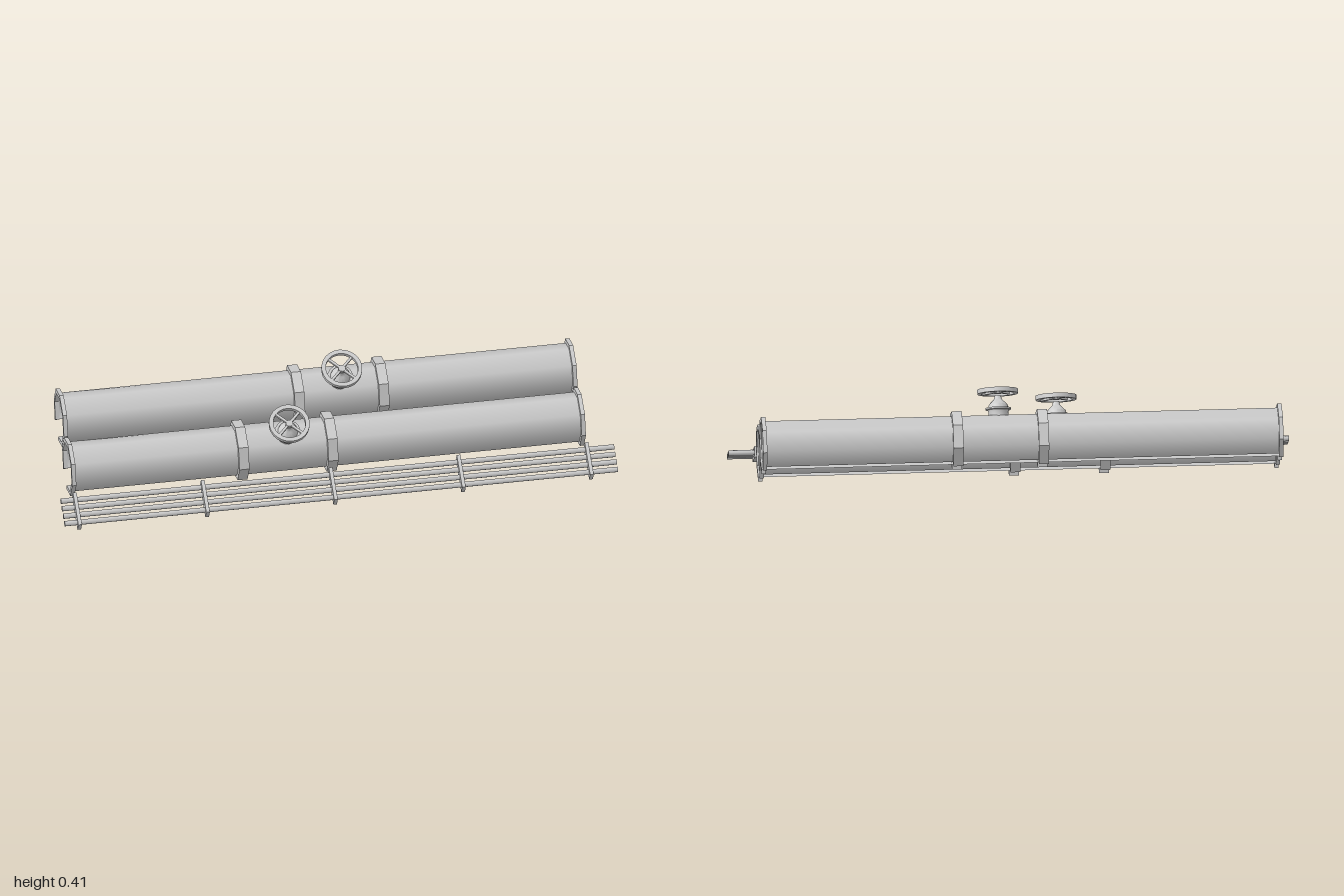
import * as THREE from 'three';
import { toCreasedNormals } from 'three/addons/utils/BufferGeometryUtils.js';

const TILT = Math.PI / 6;         // everything leans 30 degrees towards the front
const R = 0.089;                  // pipe radius
const X0 = -0.945, X1 = 0.9;      // pipe ends
const SECTOR = Math.PI / 4;       // the octagonal pipes lack their bottom side

const grey = new THREE.MeshStandardMaterial({ color: 0xcccccc });
const thin = new THREE.MeshStandardMaterial({ color: 0xcccccc, side: THREE.DoubleSide });

function add(parent, name, geometry, material = grey, x = 0, y = 0, z = 0) {
  const mesh = new THREE.Mesh(geometry, material);
  mesh.name = name;
  mesh.position.set(x, y, z);
  parent.add(mesh);
  return mesh;
}

function tiltedGroup(parent, name, y, z) {
  const group = new THREE.Group();
  group.name = name;
  group.position.set(0, y, z);
  group.rotation.x = TILT;
  parent.add(group);
  return group;
}

// Seven-sided open collar, centred along x
function collarGeometry(outer, inner, width) {
  const ring = (r) => Array.from({ length: 8 }, (_, i) => {
    const a = -1.5 * SECTOR + i * SECTOR;
    return new THREE.Vector2(r * Math.cos(a), r * Math.sin(a));
  });
  const shape = new THREE.Shape([...ring(outer), ...ring(inner).reverse()]);
  return new THREE.ExtrudeGeometry(shape, { depth: width, bevelEnabled: false })
    .translate(0, 0, -width / 2)
    .rotateY(Math.PI / 2);
}

// End disc shaded softly into the pipe wall
function endDiscGeometry() {
  const g = new THREE.CircleGeometry(R, 7, -1.5 * SECTOR, 7 * SECTOR).rotateY(Math.PI / 2);
  const p = g.attributes.position;
  for (let i = 0; i < p.count; i++) {
    const n = new THREE.Vector3(1, p.getY(i) / R, p.getZ(i) / R).normalize();
    g.attributes.normal.setXYZ(i, n.x, n.y, n.z);
  }
  return g;
}

function lathe(profile, segments) {
  const points = profile.map(([r, h]) => new THREE.Vector2(r, h));
  return toCreasedNormals(new THREE.LatheGeometry(points, segments), 0.6);
}

function addValve(parent, x) {
  const valve = new THREE.Group();
  valve.name = 'valve';
  valve.position.x = x;
  parent.add(valve);

  // Neck, base flange, bonnet and stem
  add(valve, 'valveBody', lathe([
    [0.036, 0.075], [0.036, 0.098], [0.039, 0.104], [0.046, 0.106], [0.046, 0.112],
    [0.036, 0.112], [0.033, 0.125], [0.02, 0.138], [0.014, 0.144], [0.011, 0.157], [0, 0.157],
  ], 16));

  // Handwheel with crossed spokes
  const wheel = new THREE.Group();
  wheel.name = 'handwheel';
  wheel.position.y = 0.171;
  valve.add(wheel);
  const h = 0.008;
  add(wheel, 'wheelRim', lathe([[0.073, -h], [0.073, h], [0.058, h], [0.058, -h], [0.073, -h]], 24));
  add(wheel, 'wheelHub', new THREE.CylinderGeometry(0.013, 0.013, 0.014, 12));
  for (const side of [-1, 1]) {
    add(wheel, 'wheelSpoke', new THREE.BoxGeometry(0.126, 0.009, 0.009)).rotation.y = side * Math.PI / 4;
  }
}

function addPipe(parent, name, y, z, bands, valveX) {
  const pipe = tiltedGroup(parent, name, y, z);
  const length = X1 - X0;
  const wall = new THREE.CylinderGeometry(R, R, length, 7, 1, true, 2.5 * SECTOR, 7 * SECTOR)
    .rotateZ(-Math.PI / 2);
  add(pipe, 'pipeWall', wall, thin, (X0 + X1) / 2);
  add(pipe, 'pipeEndDisc', endDiscGeometry(), thin, X1 - 0.002);
  for (const x of [X0, X1 - 0.003]) add(pipe, 'endFlange', collarGeometry(0.1045, R - 0.001, 0.015), grey, x);
  for (const x of bands) add(pipe, 'pipeBand', collarGeometry(0.107, R - 0.001, 0.036), grey, x);
  addValve(pipe, valveX);
}

export function createModel() {
  const model = new THREE.Group();
  model.name = 'pipeline';

  addPipe(model, 'frontPipe', 0.125, 0.018, [-0.33, -0.008], -0.165);
  addPipe(model, 'backPipe', 0.223, -0.152, [-0.098, 0.207], 0.055);

  // Bundle of four thin conduits held by five clamps
  const conduits = tiltedGroup(model, 'conduitBundle', 0.05, 0.193);
  for (let i = 0; i < 4; i++) {
    const rod = new THREE.CylinderGeometry(0.01, 0.01, 2, 8).rotateZ(Math.PI / 2);
    add(conduits, 'conduit', rod, grey, 0, 0, (i - 1.5) * 0.03);
  }
  for (let i = 0; i < 5; i++) {
    add(conduits, 'conduitClamp', new THREE.BoxGeometry(0.013, 0.039, 0.129), grey, -0.948 + i * 0.4625);
  }
  return model;
}
